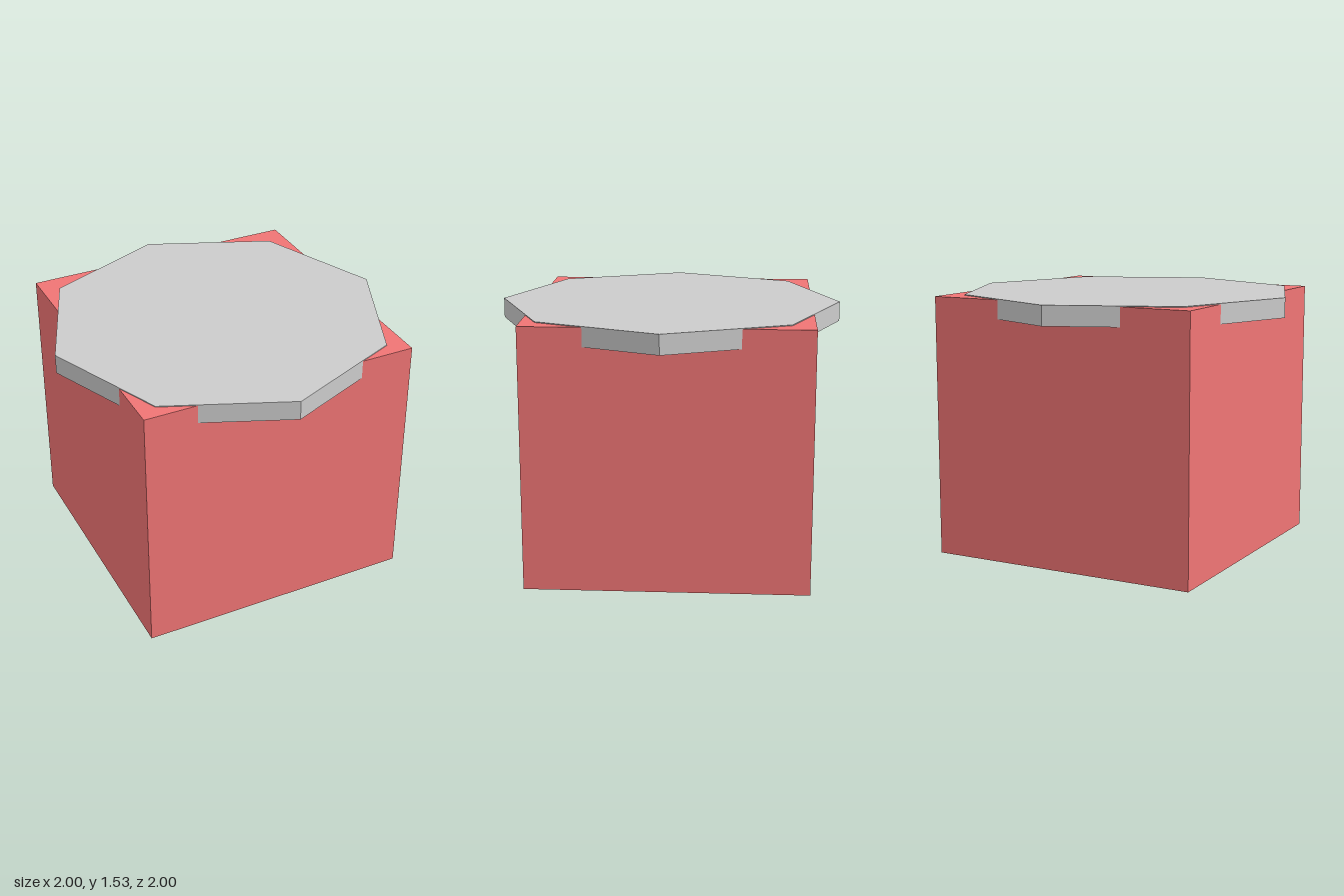
import * as THREE from 'three';

export function createModel() {
  const group = new THREE.Group();

  // Block body, slightly off centre under the lid
  const body = new THREE.Mesh(
    new THREE.BoxGeometry(1.63, 1.525, 1.63),
    new THREE.MeshStandardMaterial({ color: 0xf07575 })
  );
  body.name = 'body';
  body.position.set(0.005, 0.7625, -0.023);
  group.add(body);

  // Thin octagonal lid, corners on the x and z axes
  const lid = new THREE.Mesh(
    new THREE.CylinderGeometry(1, 1, 0.115, 8),
    new THREE.MeshStandardMaterial({ color: 0xcccccc, flatShading: true })
  );
  lid.name = 'lid';
  lid.position.y = 1.4725;
  group.add(lid);

  return group;
}
